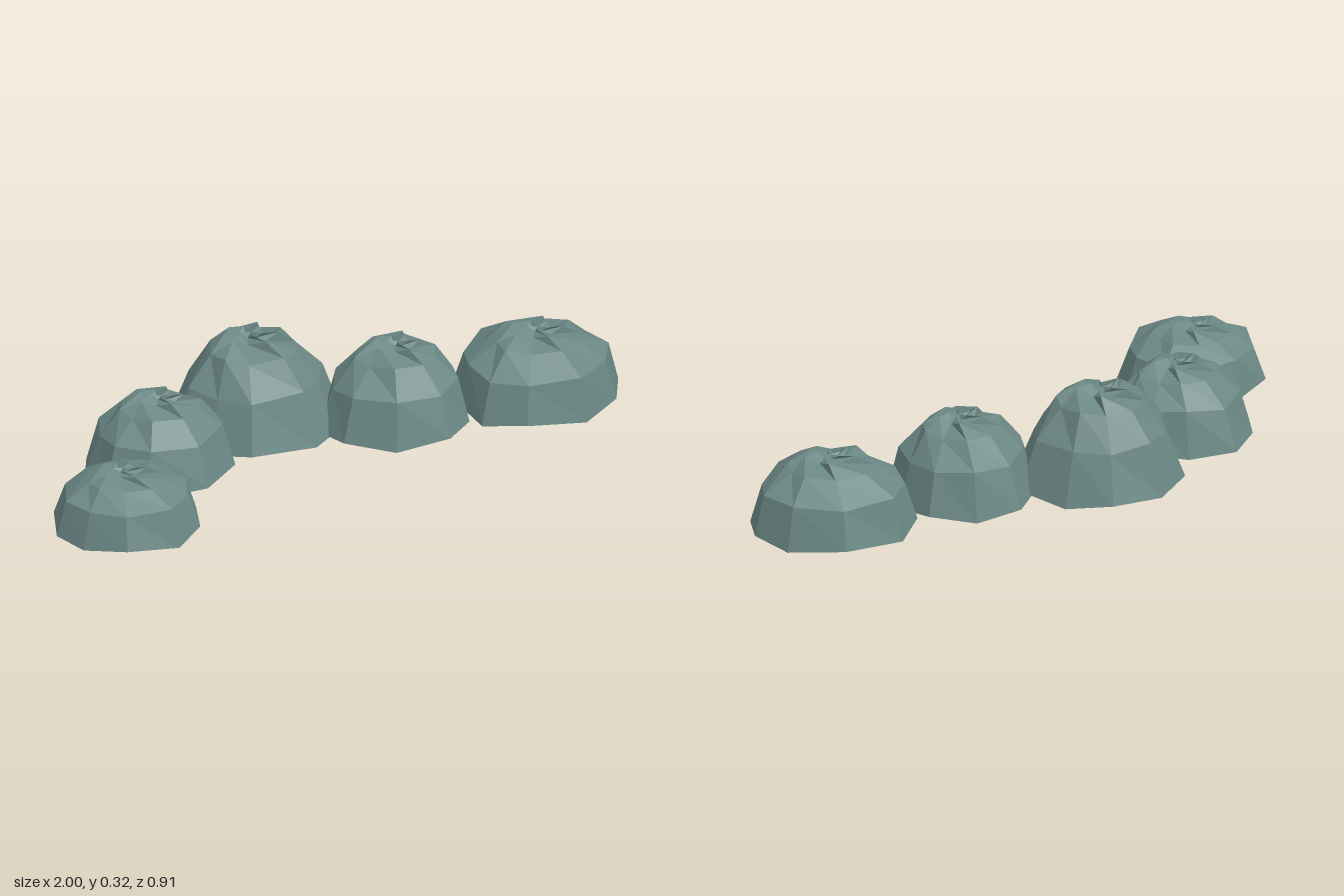
import * as THREE from 'three';

// Each mound: peak [x, z], height, shoulder radius factor and the base outline [x, z] seen from above
const MOUNDS = [
  { name: 'moundFarRight', peak: [-0.77, 0.23], h: 0.205, shoulder: [0.85, 0.62],
    base: [[-.82, .03], [-.70, .03], [-.57, .11], [-.53, .24], [-.56, .35], [-.67, .45], [-.84, .44], [-.95, .35], [-1, .25], [-.95, .10]] },
  { name: 'moundRight', peak: [-0.52, -0.07], h: 0.262, shoulder: [0.82, 0.58],
    base: [[-.60, -.30], [-.45, -.26], [-.34, -.18], [-.29, -.06], [-.31, .02], [-.45, .14], [-.64, .12], [-.75, .03], [-.77, -.09], [-.72, -.20]] },
  { name: 'moundCentre', peak: [-0.155, -0.235], h: 0.33, shoulder: [0.79, 0.54],
    base: [[-.23, -.46], [-.06, -.45], [.06, -.36], [.13, -.20], [.07, -.07], [-.03, 0], [-.25, .01], [-.36, -.08], [-.43, -.20], [-.37, -.37]] },
  { name: 'moundLeft', peak: [0.28, -0.09], h: 0.283, shoulder: [0.83, 0.56],
    base: [[.19, -.31], [.35, -.31], [.47, -.22], [.50, -.09], [.47, .03], [.37, .12], [.19, .12], [.05, .03], [.01, -.09], [.08, -.21]] },
  { name: 'moundFarLeft', peak: [0.74, -0.07], h: 0.25, shoulder: [0.87, 0.59],
    base: [[.62, -.31], [.82, -.30], [.96, -.18], [1, -.05], [.95, .06], [.81, .16], [.62, .14], [.50, .06], [.48, -.08], [.50, -.20]] },
];

function moundGeometry({ peak, h, shoulder, base }, seed) {
  const n = base.length;
  const wobble = (i, k) => Math.sin(i * 2.4 + k * 1.7 + seed * 3.1);
  // rings from rim to crown: radius factor, height factor, twist, radius pinch, height pinch
  const rings = [
    [1, 0, 0, 0, 0],
    [shoulder[0], shoulder[1], 0, 0.015, 0.025],
    [0.52, 0.85, 0.06, 0.03, 0.02],
    [0.24, 0.95, 0.25, 0.06, 0.03],
    [0.1, 0.97, 0.7, 0.04, 0.03],
  ];
  const pos = [];
  rings.forEach(([r, y, twist, dr, dy], k) => {
    base.forEach(([x, z], i) => {
      const alternate = k > 2 ? (i % 2 ? 1 : -1) : wobble(i, k);
      const s = r + dr * alternate;
      const dx = (x - peak[0]) * s, dz = (z - peak[1]) * s;
      const c = Math.cos(twist), t = Math.sin(twist);
      const rim = k === 0 ? 0.014 + 0.009 * wobble(i, 0) : 0;
      pos.push(peak[0] + dx * c - dz * t, h * (y + dy * alternate) + rim, peak[1] + dx * t + dz * c);
    });
  });
  pos.push(peak[0], h * 0.98, peak[1]);

  const index = [];
  const tip = rings.length * n;
  for (let k = 0; k < rings.length; k++) {
    for (let i = 0; i < n; i++) {
      const a = k * n + i, b = k * n + (i + 1) % n;
      if (k === rings.length - 1) index.push(a, tip, b);
      else index.push(a, a + n, b + n, a, b + n, b);
    }
  }
  const geometry = new THREE.BufferGeometry();
  geometry.setAttribute('position', new THREE.Float32BufferAttribute(pos, 3));
  geometry.setIndex(index);
  const flat = geometry.toNonIndexed();
  flat.computeVertexNormals();
  return flat;
}

export function createModel() {
  const group = new THREE.Group();
  group.name = 'moundRow';
  // open shells underneath, so both sides show
  const leaf = new THREE.MeshStandardMaterial({ color: 0x6b8885, flatShading: true, side: THREE.DoubleSide });
  leaf.name = 'greyTeal';
  MOUNDS.forEach((mound, i) => {
    const mesh = new THREE.Mesh(moundGeometry(mound, i), leaf);
    mesh.name = mound.name;
    group.add(mesh);
  });
  return group;
}
